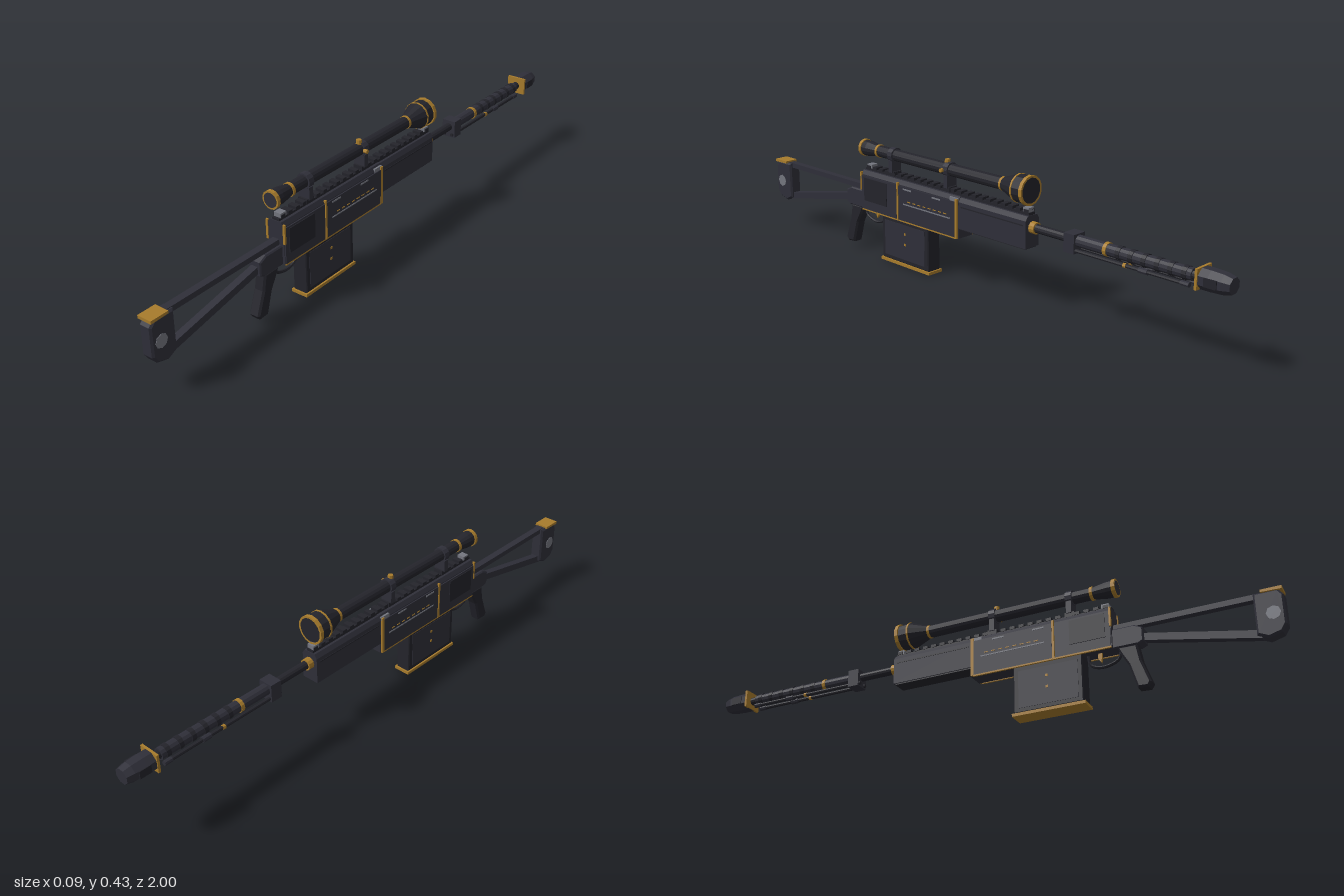
import * as THREE from 'three';

export function createModel() {
  const root = new THREE.Group();
  root.name = 'scopedRifle';
  const material = (name, color) => {
    const m = new THREE.MeshStandardMaterial({ color, flatShading: true });
    m.name = name;
    return m;
  };
  const body = material('gunmetal', 0x2f2f39);
  const dark = material('blackMetal', 0x24242b);
  const gold = material('gold', 0xa87c2c);
  const grey = material('steelGrey', 0x74767f);

  const add = (name, geometry, mat, x = 0, y = 0, z = 0) => {
    const mesh = new THREE.Mesh(geometry, mat);
    mesh.name = name;
    mesh.position.set(x, y, z);
    root.add(mesh);
    return mesh;
  };
  // Box given by its limits in height and length, centred on x
  const box = (name, mat, w, y0, y1, z0, z1, x = 0) =>
    add(name, new THREE.BoxGeometry(w, y1 - y0, z1 - z0), mat, x, (y0 + y1) / 2, (z0 + z1) / 2);
  // Side outline of [z, y] points extruded across x
  const slab = (name, mat, points, w, bevel = 0) => {
    const shape = new THREE.Shape(points.map(([z, y]) => new THREE.Vector2(z, y)));
    const depth = w - 2 * bevel;
    const g = new THREE.ExtrudeGeometry(shape, {
      depth, bevelEnabled: bevel > 0, bevelThickness: bevel, bevelSize: bevel, bevelOffset: -bevel, bevelSegments: 1,
    });
    g.translate(0, 0, -depth / 2).rotateY(-Math.PI / 2);
    return add(name, g, mat);
  };
  // Cylinder along z
  const rod = (name, mat, r, z0, z1, y, x = 0, sides = 12) =>
    add(name, new THREE.CylinderGeometry(r, r, z1 - z0, sides).rotateX(Math.PI / 2), mat, x, y, (z0 + z1) / 2);
  // Profile of [radius, z] points turned around the z axis, z increasing
  const turned = (name, mat, points, y) =>
    add(name, new THREE.LatheGeometry(points.map(([r, z]) => new THREE.Vector2(r, z)), 14).rotateX(Math.PI / 2), mat, 0, y);

  // Skeleton stock
  slab('buttPad', body, [[1, 0.225], [1, 0.13], [0.985, 0.107], [0.945, 0.096], [0.912, 0.112], [0.912, 0.244], [0.985, 0.244]], 0.044, 0.006);
  slab('buttTopPlate', gold, [[0.998, 0.24], [0.998, 0.25], [0.935, 0.25], [0.935, 0.242]], 0.05);
  add('buttInset', new THREE.CylinderGeometry(0.022, 0.022, 0.047, 8).rotateZ(Math.PI / 2), grey, 0, 0.17, 0.966);
  box('stockUpperBar', body, 0.024, 0.228, 0.246, 0.47, 0.93);
  slab('stockLowerBar', body, [[0.925, 0.103], [0.925, 0.128], [0.56, 0.202], [0.56, 0.178]], 0.024);

  // Rear block, grip and trigger
  slab('rearBlock', body, [[0.577, 0.17], [0.577, 0.215], [0.55, 0.228], [0.47, 0.228], [0.47, 0.162], [0.56, 0.162]], 0.046, 0.004);
  slab('pistolGrip', dark, [[0.555, 0.165], [0.492, 0.165], [0.505, 0.135], [0.525, 0.1], [0.548, 0.022], [0.582, 0.02], [0.592, 0.035], [0.565, 0.11]], 0.04, 0.006);
  const guardCurve = new THREE.CatmullRomCurve3(
    [[0.165, 0.5], [0.135, 0.49], [0.12, 0.455], [0.121, 0.42], [0.135, 0.397], [0.165, 0.392]].map(([y, z]) => new THREE.Vector3(0, y, z)));
  add('triggerGuard', new THREE.TubeGeometry(guardCurve, 14, 0.005, 6), dark);
  slab('trigger', gold, [[0.438, 0.168], [0.426, 0.168], [0.424, 0.15], [0.434, 0.134], [0.437, 0.15]], 0.01);

  // Receiver: cross-section with sloped shoulders, extruded along z
  const section = (name, mat, hw, y0, y1, z0, z1) => {
    const s = new THREE.Shape([[-hw, y0], [hw, y0], [hw, y1 - 0.014], [hw - 0.009, y1], [-hw + 0.009, y1], [-hw, y1 - 0.014]]
      .map(([x, y]) => new THREE.Vector2(x, y)));
    return add(name, new THREE.ExtrudeGeometry(s, { depth: z1 - z0, bevelEnabled: false }), mat, 0, 0, z0);
  };
  section('receiver', body, 0.031, 0.165, 0.305, 0, 0.48);
  section('foreHousing', body, 0.03, 0.2, 0.303, -0.29, 0);
  box('foreHousingFloor', dark, 0.052, 0.196, 0.202, -0.285, 0);
  for (const s of [-1, 1]) {
    box('rearSidePanel', body, 0.005, 0.168, 0.288, 0.295, 0.478, s * 0.0325);
    box('accessCover', dark, 0.004, 0.2, 0.282, 0.345, 0.462, s * 0.0355);
    box('middleSidePanel', body, 0.005, 0.168, 0.288, 0.012, 0.285, s * 0.0325);
    box('panelSlot', grey, 0.002, 0.226, 0.23, 0.035, 0.26, s * 0.0355);
    for (let i = 0; i < 8; i++) box('slotMark', gold, 0.002, 0.238, 0.241, 0.05 + i * 0.025, 0.064 + i * 0.025, s * 0.0355);
    for (const z of [0.08, 0.22]) box('upperVent', grey, 0.002, 0.278, 0.283, z, z + 0.04, s * 0.0355);
    box('panelSeam', gold, 0.008, 0.165, 0.298, 0.286, 0.293, s * 0.0325);
    box('frontSeam', gold, 0.008, 0.165, 0.298, 0.002, 0.012, s * 0.0325);
    box('rearSeam', gold, 0.008, 0.235, 0.3, 0.476, 0.482, s * 0.0325);
    box('lowerTrim', gold, 0.006, 0.163, 0.168, 0.01, 0.478, s * 0.032);
    box('shoulderBracket', grey, 0.008, 0.288, 0.3, 0.002, 0.04, s * 0.028);
    box('foreHousingRib', dark, 0.003, 0.272, 0.276, -0.28, -0.01, s * 0.03);
  }

  // Top rail with teeth
  box('rail', dark, 0.026, 0.3, 0.312, -0.288, 0.478);
  for (let i = 0; i < 24; i++) box('railTooth', dark, 0.03, 0.311, 0.321, -0.285 + i * 0.032, -0.267 + i * 0.032);
  box('rearSight', grey, 0.026, 0.312, 0.326, 0.445, 0.47);
  box('frontSight', grey, 0.026, 0.312, 0.326, -0.285, -0.262);

  // Magazine
  slab('magazine', dark, [[0.38, 0.01], [0.38, 0.17], [0.148, 0.17], [0.148, 0.01]], 0.054, 0.003);
  box('magazineBase', gold, 0.06, 0, 0.01, 0.142, 0.386);
  for (const s of [-1, 1]) {
    box('magazinePanel', body, 0.002, 0.025, 0.15, 0.165, 0.365, s * 0.0275);
    for (const y of [0.08, 0.118]) box('magazineStud', gold, 0.002, y - 0.004, y + 0.004, 0.258, 0.266, s * 0.029);
  }

  // Scope
  const axis = 0.379;
  turned('scopeBody', dark, [[0, -0.28], [0.043, -0.28], [0.045, -0.235], [0.021, -0.17], [0.02, 0.42], [0.027, 0.465], [0.027, 0.494], [0, 0.494]], axis);
  turned('objectiveRim', gold, [[0.041, -0.284], [0.048, -0.284], [0.048, -0.272], [0.041, -0.272]], axis);
  turned('objectiveCollar', gold, [[0.04, -0.24], [0.0465, -0.24], [0.0465, -0.234], [0.04, -0.234]], axis);
  rod('objectiveLens', dark, 0.041, -0.283, -0.278, axis, 0, 14);
  turned('eyepieceRim', gold, [[0.023, 0.485], [0.03, 0.485], [0.03, 0.497], [0.023, 0.497]], axis);
  rod('eyepieceLens', body, 0.024, 0.49, 0.498, axis, 0, 14);
  for (const z of [-0.17, 0.415]) rod('scopeBand', gold, 0.0225, z - 0.005, z + 0.005, axis, 0, 14);
  for (const z of [0.07, 0.34]) {
    box('mountFoot', dark, 0.034, 0.308, 0.324, z - 0.016, z + 0.016);
    box('mountPost', body, 0.042, 0.32, 0.362, z - 0.009, z + 0.009);
    rod('mountRing', body, 0.0255, z - 0.011, z + 0.011, axis);
  }
  add('turret', new THREE.CylinderGeometry(0.009, 0.011, 0.02, 10), gold, 0, 0.402, 0.08);
  add('sideTurret', new THREE.CylinderGeometry(0.007, 0.007, 0.014, 8).rotateZ(Math.PI / 2), gold, 0.027, axis, 0.08);

  // Barrel and muzzle brake
  const bore = 0.265;
  rod('barrel', dark, 0.014, -0.91, -0.28, bore);
  rod('barrelCollar', gold, 0.019, -0.31, -0.29, bore);
  rod('barrelSleeve', body, 0.019, -0.875, -0.44, bore);
  for (let i = 0; i < 6; i++) rod('sleeveRing', dark, 0.021, -0.86 + i * 0.045, -0.845 + i * 0.045, bore);
  rod('sleeveBand', gold, 0.0215, -0.587, -0.575, bore);
  // Stack of eight-sided sections narrowing toward the tip
  const brake = add('muzzleBrake', new THREE.CylinderGeometry(1, 1, 1, 8, 3).rotateX(Math.PI / 2).rotateZ(Math.PI / 8), body);
  const p = brake.geometry.attributes.position;
  const stations = [[-1, 0.024], [-0.975, 0.03], [-0.935, 0.032], [-0.902, 0.032]];
  for (let i = 0; i < p.count; i++) {
    const [z, r] = stations[Math.round((p.getZ(i) + 0.5) * 3)];
    p.setXYZ(i, p.getX(i) * r * 1.08, bore + p.getY(i) * r * 1.04, z);
  }
  brake.geometry.computeVertexNormals();
  for (const s of [-1, 1]) box('brakePort', dark, 0.004, 0.252, 0.278, -0.965, -0.925, s * 0.032);
  box('brakePlate', gold, 0.07, 0.236, 0.297, -0.906, -0.898);

  // Folded bipod
  box('bipodClamp', body, 0.05, 0.228, 0.288, -0.475, -0.435);
  for (const s of [-1, 1]) {
    rod('bipodLeg', dark, 0.006, -0.85, -0.43, 0.238, s * 0.015, 8);
    rod('bipodFoot', body, 0.008, -0.872, -0.845, 0.238, s * 0.015, 8);
    rod('bipodJoint', body, 0.009, -0.735, -0.705, 0.238, s * 0.015, 8);
    rod('bipodBand', gold, 0.0075, -0.66, -0.65, 0.238, s * 0.015, 8);
  }
  return root;
}
